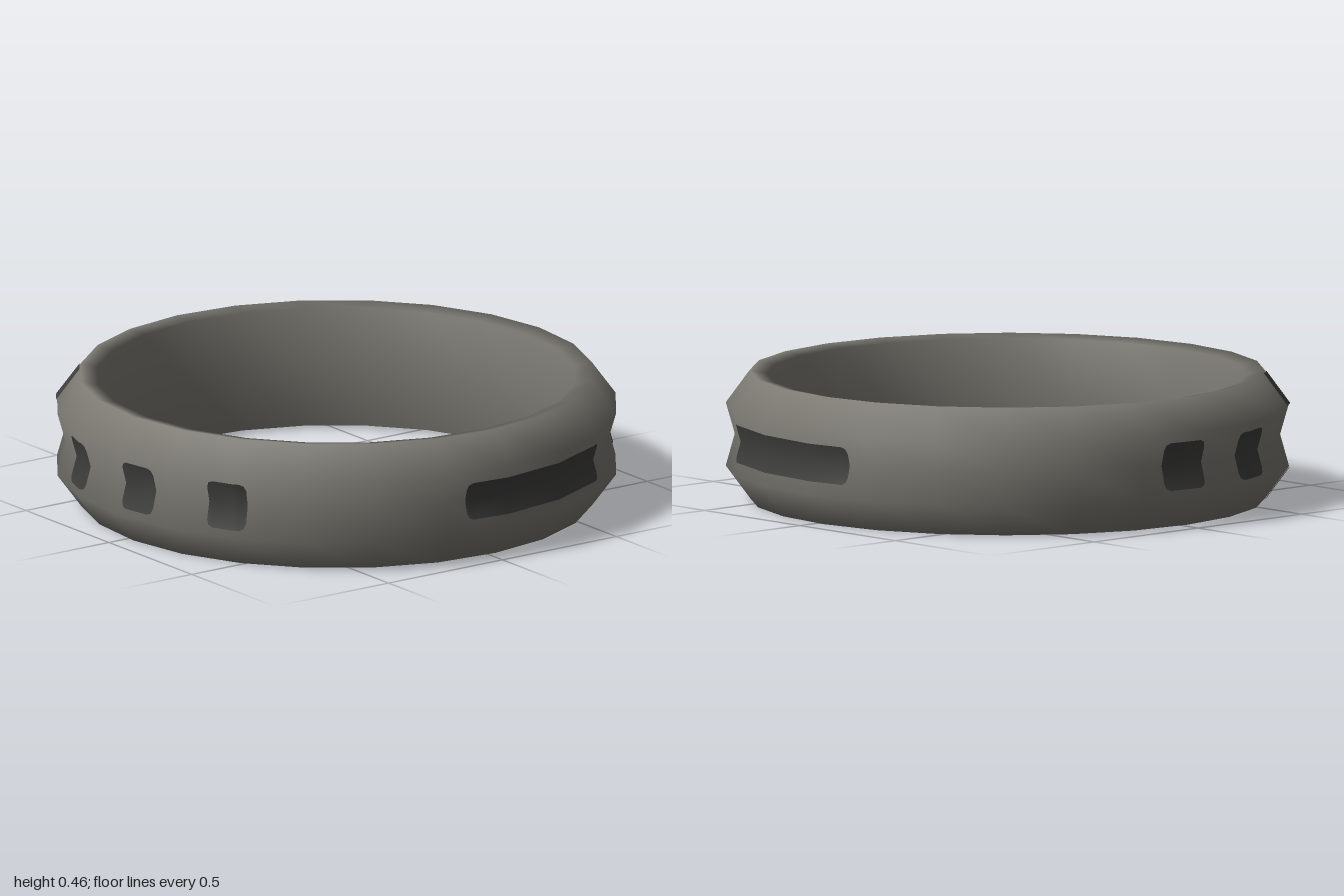
import * as THREE from 'three';

const SIDES = 24;
const STEP = (Math.PI * 2) / SIDES;
const START = THREE.MathUtils.degToRad(2);

// Closed cross-section [radius, height], starting and ending on the inner wall
const PROFILE = [
  [0.855, 0.23], [0.855, 0.012], [0.915, 0], [1, 0.115], [0.968, 0.23],
  [1, 0.342], [0.915, 0.458], [0.855, 0.446], [0.855, 0.23],
];

// Outer radius of the band at a given height
function outerRadius(y) {
  for (let i = 2; i < 6; i++) {
    const [r0, y0] = PROFILE[i], [r1, y1] = PROFILE[i + 1];
    if (y <= y1) return THREE.MathUtils.lerp(r0, r1, (y - y0) / (y1 - y0));
  }
  return PROFILE[6][0];
}

// Point just above the faceted outer surface
function surfacePoint(angle, y) {
  const local = (((angle - START) % STEP) + STEP) % STEP - STEP / 2;
  const r = outerRadius(y) * Math.cos(STEP / 2) / Math.cos(local) + 0.004;
  return [r * Math.sin(angle), y, r * Math.cos(angle)];
}

// Thin rounded patch that follows the band between two angles (degrees)
function patchGeometry(fromDeg, toDeg, y0, y1, corner) {
  const a = THREE.MathUtils.degToRad(fromDeg), b = THREE.MathUtils.degToRad(toDeg);
  const angles = [a, a + corner * 0.3, a + corner, b - corner, b - corner * 0.3, b];
  for (let k = -SIDES; k <= SIDES; k++) {
    const edge = START + k * STEP;
    if (edge > a + corner && edge < b - corner) angles.push(edge);
  }
  angles.sort((p, q) => p - q);

  const positions = [], indices = [];
  angles.forEach((angle, i) => {
    const d = Math.min(angle - a, b - angle, corner);
    const inset = corner > 0 ? corner - Math.sqrt(Math.max(0, corner ** 2 - (corner - d) ** 2)) : 0;
    const low = y0 + inset, high = y1 - inset;
    const middle = low < 0.23 && high > 0.23 ? 0.23 : (low + high) / 2;
    for (const y of [low, middle, high]) positions.push(...surfacePoint(angle, y));
    if (i === 0) return;
    for (let j = 0; j < 2; j++) {
      const p = (i - 1) * 3 + j, q = i * 3 + j;
      indices.push(p, q, q + 1, p, q + 1, p + 1);
    }
  });
  const geometry = new THREE.BufferGeometry();
  geometry.setAttribute('position', new THREE.Float32BufferAttribute(positions, 3));
  geometry.setIndex(indices);
  geometry.computeVertexNormals();
  return geometry;
}

export function createModel() {
  const model = new THREE.Group();
  model.name = 'ring';

  const metal = new THREE.MeshStandardMaterial({ color: 0x7b7972 });
  metal.name = 'warm grey metal';
  const dark = new THREE.MeshStandardMaterial({ color: 0x3e3e3d });
  dark.name = 'dark inlay';

  // Band with a shallow groove around the outside
  const bandGeometry = new THREE.LatheGeometry(
    PROFILE.map(([r, y]) => new THREE.Vector2(r, y)), SIDES, START);
  bandGeometry.normalizeNormals();
  const band = new THREE.Mesh(bandGeometry, metal);
  band.name = 'band';
  model.add(band);

  const addPatch = (name, ...args) => {
    const mesh = new THREE.Mesh(patchGeometry(...args), dark);
    mesh.name = name;
    model.add(mesh);
  };

  // Short inlays in the groove
  for (const [from, to] of [[-19.2, -10.5], [3.5, 12.4], [26, 34.9], [-76, -65.5], [-98, -87.5]]) {
    addPatch('shortInlay', from, to, 0.142, 0.313, 0.025);
  }
  // Long inlays in the groove
  for (const [from, to] of [[82.2, 124.2], [149, 192]]) {
    addPatch('longInlay', from, to, 0.162, 0.297, 0.025);
  }
  // Inlays on the upper and lower bevels
  addPatch('upperBevelInlay', -47, -38.8, 0.342, 0.457, 0);
  addPatch('lowerBevelInlay', -47, -38.8, 0.001, 0.115, 0);

  return model;
}
